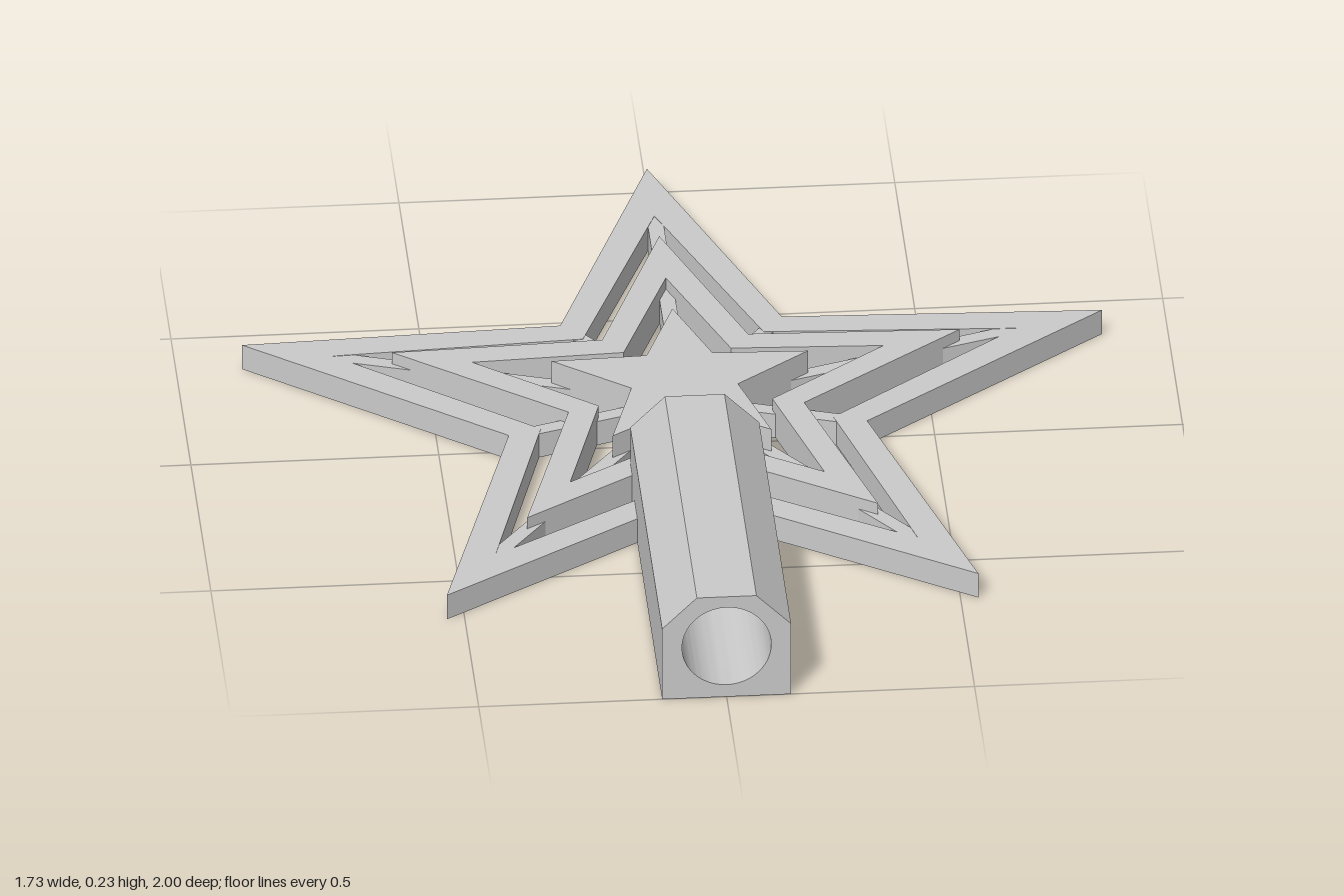
import * as THREE from 'three';
import { toCreasedNormals } from 'three/addons/utils/BufferGeometryUtils.js';

const CENTER_Z = -0.088;

// Five-pointed star outline, counter-clockwise, with one tip along +y
function starPoints(tip, notch) {
  return Array.from({ length: 10 }, (_, i) => {
    const r = i % 2 ? notch : tip;
    const a = (i * Math.PI) / 5;
    return new THREE.Vector2(-r * Math.sin(a), r * Math.cos(a));
  });
}

// Flat star, optionally hollow, lying on y = 0
function starGeometry(outer, inner, height) {
  const shape = new THREE.Shape(starPoints(...outer));
  if (inner) shape.holes.push(new THREE.Path(starPoints(...inner)));
  const geo = new THREE.ExtrudeGeometry(shape, { depth: height, bevelEnabled: false });
  return geo.rotateX(-Math.PI / 2);
}

// Holder cross-section: flat base, chamfered top corners
function holderShape() {
  return new THREE.Shape([
    [-0.13, 0], [0.13, 0], [0.13, 0.164], [0.06, 0.233], [-0.06, 0.233], [-0.13, 0.164],
  ].map(([x, y]) => new THREE.Vector2(x, y)));
}

export function createModel() {
  const grey = new THREE.MeshStandardMaterial({ color: 0xcacaca });
  grey.name = 'grey';
  const model = new THREE.Group();
  model.name = 'starTopper';

  function add(name, geometry, parent) {
    const mesh = new THREE.Mesh(geometry, grey);
    mesh.name = name;
    parent.add(mesh);
    return mesh;
  }

  // Stepped concentric stars
  const star = new THREE.Group();
  star.name = 'star';
  star.position.z = CENTER_Z;
  model.add(star);
  add('outerStarRing', starGeometry([0.912, 0.38], [0.725, 0.31], 0.056), star);
  add('middleStarRing', starGeometry([0.602, 0.25], [0.436, 0.184], 0.081), star);
  add('centreStar', starGeometry([0.272, 0.113], null, 0.106), star);

  // Ribs joining the rings, along every tip and notch
  for (let i = 0; i < 10; i++) {
    const end = i % 2 ? 0.33 : 0.76;
    const rib = new THREE.BoxGeometry(0.032, 0.055, end - 0.06);
    rib.translate(0, 0.0275, -(end + 0.06) / 2);
    add('rib', rib, star).rotation.y = (i * Math.PI) / 5;
  }

  // Holder: solid back end and a bored front end
  const holder = new THREE.Group();
  holder.name = 'holder';
  model.add(holder);
  const solid = new THREE.ExtrudeGeometry(holderShape(), { depth: 0.2, bevelEnabled: false });
  add('holderBack', solid.translate(0, 0, 0.2), holder);

  const bored = holderShape();
  bored.holes.push(new THREE.Path().absarc(0, 0.118, 0.09, 0, Math.PI * 2, true));
  const sleeve = new THREE.ExtrudeGeometry(bored, { depth: 0.6, bevelEnabled: false, curveSegments: 40 });
  add('holderSleeve', toCreasedNormals(sleeve.translate(0, 0, 0.4), 0.5), holder);

  return model;
}
